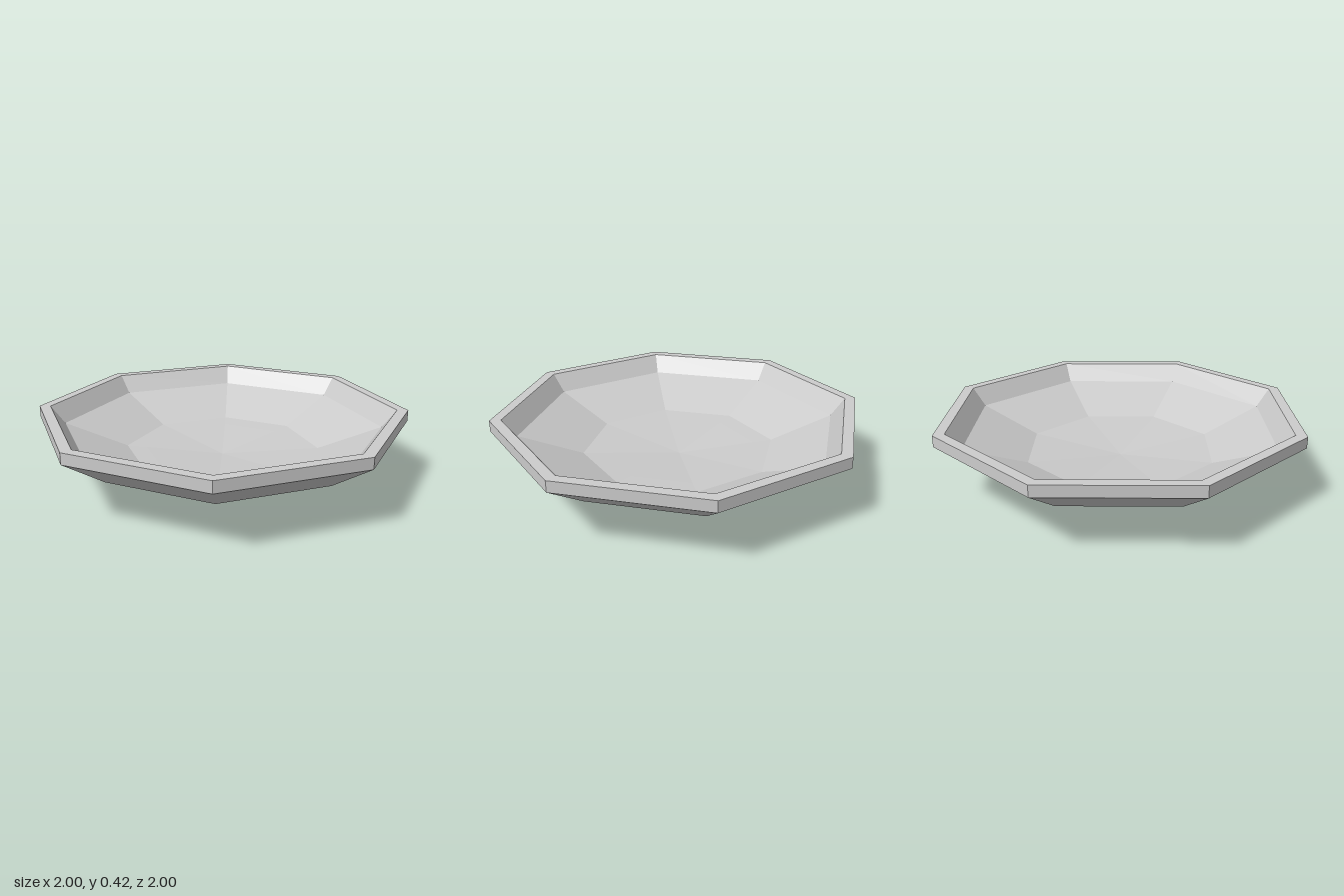
import * as THREE from 'three';

const SIDES = 8;

// Revolve a profile of [distance to flat side, height] into an eight-sided shell
function facetedShell(name, profile, material) {
  const toCorner = 1 / Math.cos(Math.PI / SIDES);
  const points = profile.map(([r, y]) => new THREE.Vector2(r * toCorner, y));
  const mesh = new THREE.Mesh(new THREE.LatheGeometry(points, SIDES, Math.PI / SIDES), material);
  mesh.name = name;
  return mesh;
}

export function createModel() {
  const group = new THREE.Group();
  group.name = 'bowl';
  const material = new THREE.MeshStandardMaterial({ color: 0xcccccc, flatShading: true });

  // Underside: flat foot, then three flaring bands
  group.add(facetedShell('outerShell', [[0, 0], [0.27, 0], [0.52, 0.07], [0.77, 0.19], [1, 0.355]], material));

  // Upright lip with a flat top
  group.add(facetedShell('rim', [[1, 0.355], [1, 0.42], [0.94, 0.42]], material));

  // Inside walls and shallow dished floor
  group.add(facetedShell('innerWall', [[0.94, 0.42], [0.865, 0.315], [0.525, 0.178]], material));
  group.add(facetedShell('floor', [[0.525, 0.178], [0.42, 0.17], [0, 0.135]], material));

  return group;
}
